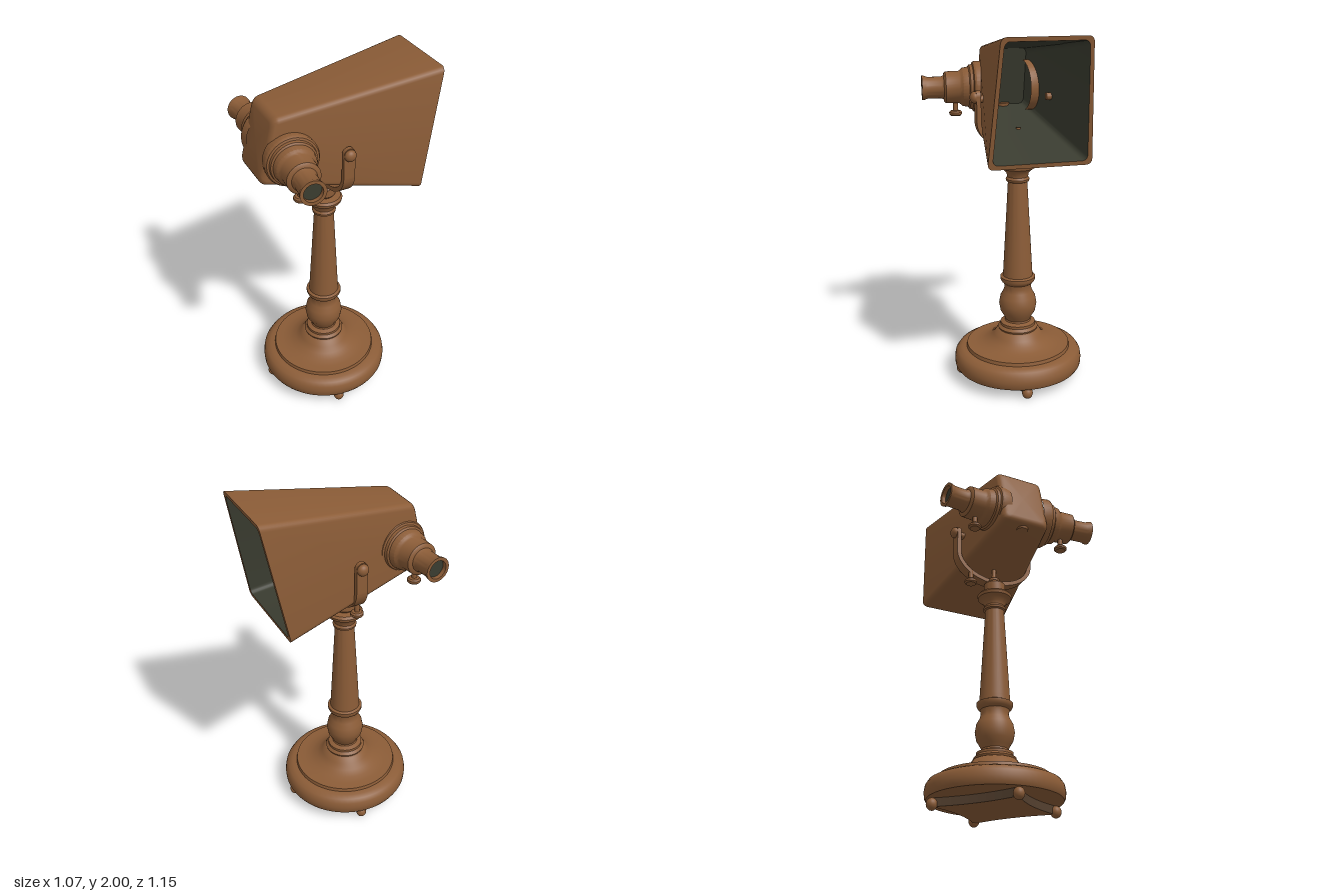
import * as THREE from 'three';
import { toCreasedNormals } from 'three/addons/utils/BufferGeometryUtils.js';

const mat = (name, color, extra = {}) => {
  const m = new THREE.MeshStandardMaterial({ color, ...extra });
  m.name = name;
  return m;
};
const lerp = THREE.MathUtils.lerp;

export function createModel() {
  const bronze = mat('bronze', 0x8b5c37);
  const dark = mat('dark interior', 0x3a3c30);
  const shade = mat('dark skirt', 0x54402f);

  const root = new THREE.Group();
  root.name = 'standViewer';

  const add = (parent, name, geo, material, x = 0, y = 0, z = 0) => {
    const m = new THREE.Mesh(geo, material);
    m.name = name;
    m.position.set(x, y, z);
    parent.add(m);
    return m;
  };
  const lathe = (pts, seg = 48) =>
    toCreasedNormals(new THREE.LatheGeometry(pts.map(p => new THREE.Vector2(p[0], p[1])), seg), 0.6);

  // ---- Stand ----
  const stand = new THREE.Group();
  stand.name = 'stand';
  stand.position.set(0.02, 0, 0.005);
  root.add(stand);

  add(stand, 'base', lathe([
    [0, 0.065], [0.36, 0.065], [0.368, 0.08], [0.37, 0.11], [0.365, 0.14], [0.35, 0.163], [0.325, 0.175],
    [0.3, 0.178], [0.296, 0.197], [0.25, 0.199], [0.21, 0.207], [0.17, 0.225], [0.14, 0.25], [0.122, 0.28],
    [0.112, 0.285], [0.115, 0.295], [0.1, 0.31], [0.1, 0.325], [0.075, 0.335], [0.07, 0.35], [0.075, 0.36],
  ], 64), bronze);

  add(stand, 'column', lathe([
    [0.07, 0.34], [0.082, 0.365], [0.1, 0.395], [0.108, 0.44], [0.1, 0.485], [0.083, 0.515], [0.076, 0.54],
    [0.08, 0.565], [0.092, 0.575], [0.1, 0.59], [0.1, 0.605], [0.085, 0.612], [0.083, 0.64],
    [0.054, 1.165], [0.064, 1.17], [0.066, 1.182], [0.058, 1.195], [0.062, 1.215], [0.08, 1.235],
    [0.096, 1.245], [0.1, 1.262], [0.09, 1.275], [0.055, 1.28], [0.062, 1.29], [0.062, 1.335], [0.05, 1.35], [0, 1.35],
  ]), bronze);

  // Concave four-pointed skirt with ball feet at its corners
  const foot = [[0.225, 0.245], [-0.225, 0.245], [-0.225, -0.245], [0.225, -0.245]];
  const skirt = new THREE.Shape();
  skirt.moveTo(...foot[0]);
  for (let i = 0; i < 4; i++) {
    const a = foot[i], b = foot[(i + 1) % 4];
    skirt.quadraticCurveTo((a[0] + b[0]) * 0.36, (a[1] + b[1]) * 0.36, ...b);
  }
  const skirtGeo = new THREE.ExtrudeGeometry(skirt, { depth: 0.05, bevelEnabled: false, curveSegments: 10 });
  skirtGeo.rotateX(-Math.PI / 2);
  add(stand, 'skirt', skirtGeo, [bronze, shade], 0, 0.02, 0);
  for (const [x, z] of foot) {
    const f = add(stand, 'foot', new THREE.SphereGeometry(0.03, 20, 14), bronze, x, 0.033, z);
    f.scale.y = 1.1;
  }

  // ---- Head assembly: local +z points out of the narrow end ----
  const head = new THREE.Group();
  head.name = 'head';
  head.position.set(0.02, 0, 0);
  head.rotation.y = -0.6435;
  root.add(head);

  // Tapered hood lofted between a wide tilted mouth and a narrow front
  const mouth = { yt: 2.0, zt: -0.55, wt: 0.228, yb: 1.345, zb: -0.433, wb: 0.273 };
  const nose = { yt: 1.88, zt: 0.34, wt: 0.138, yb: 1.53, zb: 0.425, wb: 0.138 };
  const ring = (f, inset = 0, k = 1) => {
    const p = {};
    for (const key in mouth) p[key] = lerp(mouth[key], nose[key], f);
    const h = (p.yt - p.yb) / 2 - inset, w = (p.wt + p.wb) / 2;
    const kw = (w - inset) / w, mid = (p.yt + p.yb) / 2, r = 0.03;
    const out = [];
    for (let c = 0; c < 4; c++) {
      const sx = c === 0 || c === 3 ? 1 : -1, sy = c < 2 ? 1 : -1;
      for (let i = 0; i <= 5; i++) {
        const a = (c + i / 5) * Math.PI / 2;
        const u = (sx * (w - r) + r * Math.cos(a)) / w * kw * k;
        const y = mid + (sy * (h - r) + r * Math.sin(a)) * k;
        const v = (y - p.yb) / (p.yt - p.yb);
        out.push([u * lerp(p.wb, p.wt, v), y, lerp(p.zb, p.zt, v)]);
      }
    }
    return out;
  };
  const loft = rings => {
    const n = rings[0].length, idx = [];
    for (let i = 0; i + 1 < rings.length; i++) {
      for (let j = 0; j < n; j++) {
        const a = i * n + j, b = i * n + (j + 1) % n;
        idx.push(a, b, b + n, a, b + n, a + n);
      }
    }
    const g = new THREE.BufferGeometry();
    g.setAttribute('position', new THREE.Float32BufferAttribute(rings.flat(2), 3));
    g.setIndex(idx);
    return toCreasedNormals(g, 0.6);
  };
  const nosing = [0, 1, 2, 3, 4].map(i => {
    const a = i / 4 * Math.PI / 2;
    return ring(1 - 0.035 * (1 - Math.sin(a)), 0.03 * (1 - Math.cos(a)));
  });
  add(head, 'hood', loft([ring(0, 0.022), ring(0), ...nosing, ring(1, 0.03, 0)]), bronze);
  add(head, 'hoodInterior', loft([ring(0.93, 0.022, 0), ring(0.93, 0.022), ring(0, 0.022)]), dark);
  add(head, 'noseKnob', new THREE.CylinderGeometry(0.04, 0.032, 0.04, 20), bronze, 0, 1.53, 0.36);

  // Thumb screw: stem with a rounded disc below
  const thumbScrew = (parent, name, x, y, z) => add(parent, name, lathe([
    [0, 0], [0.028, 0], [0.036, 0.008], [0.036, 0.02], [0.028, 0.028], [0.014, 0.03], [0.014, 0.09],
  ], 20), bronze, x, y, z);

  // Side barrels, one on each cheek near the front
  const barrelGeo = lathe([
    [0.14, -0.03], [0.143, 0.02], [0.136, 0.032], [0.125, 0.036], [0.122, 0.052], [0.112, 0.058], [0.106, 0.09],
    [0.096, 0.1], [0.09, 0.11], [0.088, 0.185], [0.08, 0.192], [0.066, 0.195], [0.06, 0.21], [0.06, 0.285],
    [0.066, 0.3], [0.068, 0.315], [0.05, 0.315], [0.05, 0.28],
  ], 36);
  for (const side of [1, -1]) {
    const b = new THREE.Group();
    b.name = side > 0 ? 'leftBarrel' : 'rightBarrel';
    b.position.set(0.02 + side * 0.143, 1.66, 0.265);
    b.rotation.y = side > 0 ? -0.1 : Math.PI + 0.1;
    head.add(b);
    add(b, 'barrelTube', barrelGeo, bronze).rotation.z = -Math.PI / 2;
    add(b, 'barrelGlass', new THREE.CircleGeometry(0.051, 28), dark, 0.292).rotation.y = Math.PI / 2;
    thumbScrew(b, 'barrelScrew', 0.13, -0.16, 0);
  }

  // U-shaped yoke: a flat band bent round the hood
  const R = 0.24, T = 0.024, top = 1.65, bend = 1.515, low = 0.17;
  const u = new THREE.Shape();
  u.moveTo(R, top);
  u.lineTo(R - T, top);
  u.lineTo(R - T, bend);
  u.absellipse(0, bend, R - T, low - T, 0, Math.PI, true);
  u.lineTo(-R + T, top);
  u.lineTo(-R, top);
  u.lineTo(-R, bend);
  u.absellipse(0, bend, R, low, Math.PI, Math.PI * 2, false);
  const yokeGeo = toCreasedNormals(
    new THREE.ExtrudeGeometry(u, { depth: 0.064, bevelEnabled: false, curveSegments: 32 }), 0.6);
  add(head, 'yoke', yokeGeo, bronze, 0, 0, -0.052);
  for (const side of [1, -1]) {
    const eye = add(head, 'yokeEye', new THREE.CylinderGeometry(0.032, 0.032, T, 24), bronze,
      side * (R - T / 2), top, -0.02);
    eye.rotation.z = Math.PI / 2;
    const pin = add(head, 'pivotPin', new THREE.CylinderGeometry(0.02, 0.02, 0.1, 16), bronze,
      side * 0.2, 1.635, -0.02);
    pin.rotation.z = Math.PI / 2;
    const knob = add(head, 'pivotKnob', new THREE.SphereGeometry(0.032, 20, 14), bronze, side * 0.245, 1.645, -0.02);
    knob.scale.x = 0.8;
  }
  thumbScrew(head, 'yokeScrew', -0.147, 1.315, 0);
  add(head, 'yokeFinial', lathe([
    [0.035, 1.345], [0.035, 1.375], [0.02, 1.385], [0.012, 1.4], [0.012, 1.47],
  ], 20), bronze);

  return root;
}
